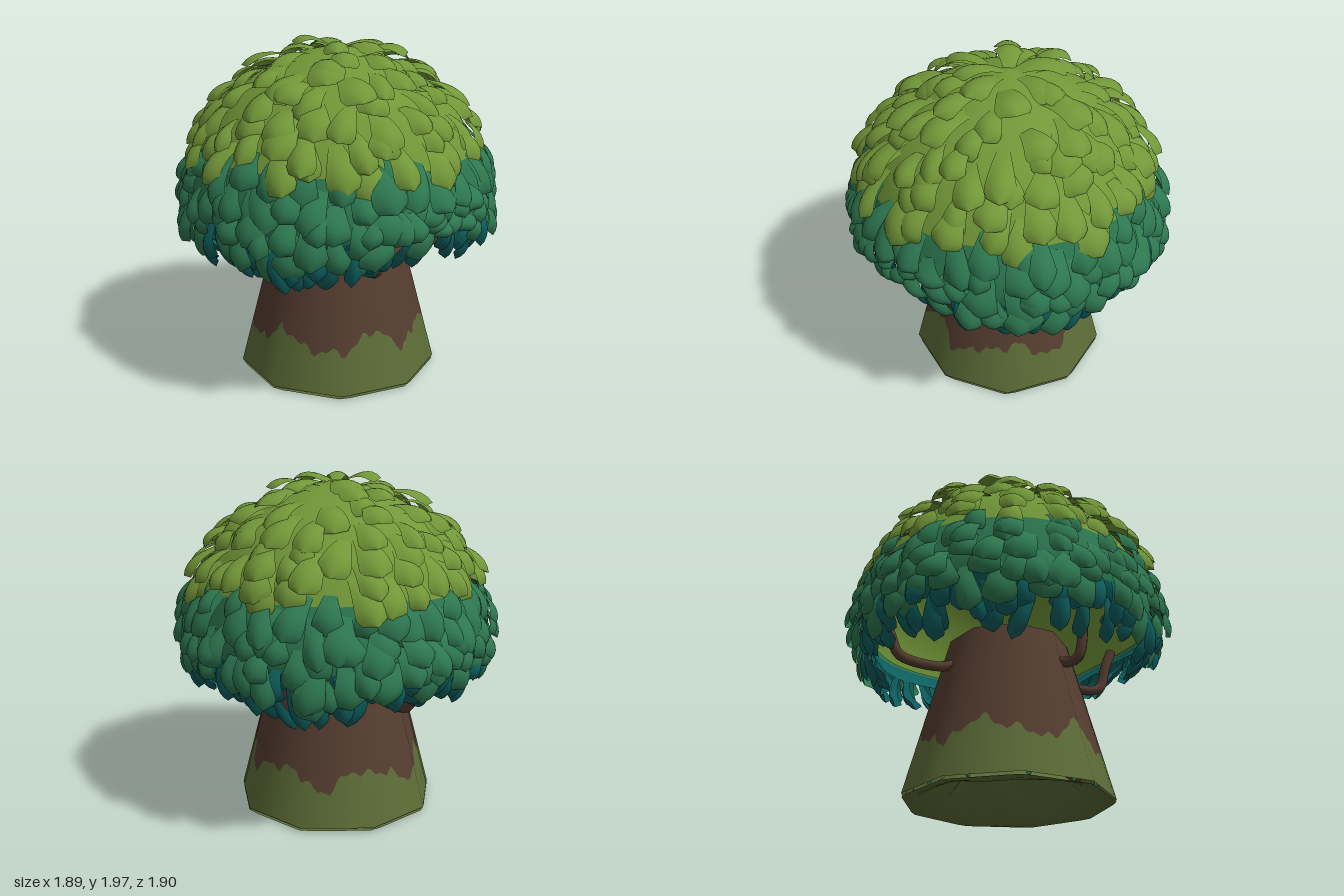
import * as THREE from 'three';
import { mergeGeometries } from 'three/addons/utils/BufferGeometryUtils.js';

const paint = (name, color) => {
  const m = new THREE.MeshStandardMaterial({ color, side: THREE.DoubleSide });
  m.name = name;
  return m;
};

let seed = 7;
const rand = () => {
  seed = (seed * 16807) % 2147483647;
  return seed / 2147483647;
};
const jitter = (a) => (rand() * 2 - 1) * a;

// Canopy outline (radius, height), from crown to rim
const profile = new THREE.SplineCurve([
  [0, 1.92], [0.26, 1.86], [0.48, 1.74], [0.66, 1.58], [0.78, 1.38],
  [0.85, 1.15], [0.85, 1.0], [0.8, 0.89],
].map(([r, y]) => new THREE.Vector2(r, y)));

// The rim rises over the front, and a little over the back and sides
function liftRim(geo) {
  const p = geo.attributes.position;
  for (let i = 0; i < p.count; i++) {
    const a = Math.atan2(p.getZ(i), p.getX(i)), s = Math.sin(a);
    const lift = 0.16 * Math.max(0, s) ** 6 + 0.07 * Math.max(0, -s) ** 6 + 0.06 * Math.cos(a) ** 8;
    p.setY(i, p.getY(i) + lift * THREE.MathUtils.clamp((1.2 - p.getY(i)) / 0.35, 0, 1));
  }
  geo.computeVertexNormals();
  return geo;
}

// Grid surface from a function of (u, v) in 0..1
function patch(nu, nv, at) {
  const pos = [], index = [];
  for (let i = 0; i <= nu; i++) {
    for (let j = 0; j <= nv; j++) {
      pos.push(...at(i / nu, j / nv).toArray());
      if (i === nu || j === nv) continue;
      const a = i * (nv + 1) + j, b = a + nv + 1;
      index.push(a, b, a + 1, b, b + 1, a + 1);
    }
  }
  const g = new THREE.BufferGeometry();
  g.setAttribute('position', new THREE.Float32BufferAttribute(pos, 3));
  g.setIndex(index);
  g.computeVertexNormals();
  return g;
}

// Spoon-shaped leaf: narrow foot, lifted rounded tip, edges folded down
function leaf(angle, t, width) {
  const q = profile.getPointAt(t), d = profile.getTangentAt(t);
  const c = Math.cos(angle), s = Math.sin(angle);
  const base = new THREE.Vector3(q.x * c, q.y, q.x * s);
  const normal = new THREE.Vector3(-d.y * c, d.x, -d.y * s);
  const along = new THREE.Vector3(d.x * c, d.y, d.x * s).applyAxisAngle(normal, jitter(0.4));
  const across = new THREE.Vector3().crossVectors(normal, along);
  const length = 0.25 + jitter(0.05), half = (width / 2) * (1 + jitter(0.2)), lift = 0.06 + jitter(0.035);
  return patch(8, 6, (u, v) => {
    const w = v * 2 - 1;
    const spread = u < 0.7 ? 0.4 + 0.6 * (u / 0.7)
      : Math.sqrt(Math.max(0, 1 - ((u - 0.7) / 0.3) ** 2));
    const height = lift * u + 0.03 * Math.sin(Math.PI * u) - 0.055 * w * w * spread * u - 0.03 * u ** 6;
    return base.clone()
      .addScaledVector(along, length * u)
      .addScaledVector(across, half * spread * w)
      .addScaledVector(normal, height);
  });
}

function leafRows(rows, spacing, width) {
  const leaves = [];
  for (const t of rows) {
    const n = Math.max(5, Math.round((2 * Math.PI * profile.getPointAt(t).x) / spacing));
    const start = rand() * 6.28;
    for (let i = 0; i < n; i++) {
      const rowT = THREE.MathUtils.clamp(t + jitter(0.03), 0.01, 0.99);
      leaves.push(leaf(start + ((i + jitter(0.35)) / n) * 2 * Math.PI, rowT, width));
    }
  }
  return liftRim(mergeGeometries(leaves));
}

// Band of the dome under the leaves
function shell(t0, t1, scale = 1) {
  const pts = [];
  for (let i = 0; i <= 10; i++) {
    const q = profile.getPointAt(t1 + ((t0 - t1) * i) / 10);
    pts.push(new THREE.Vector2(q.x * scale, q.y - (1 - scale) * 0.8));
  }
  return liftRim(new THREE.LatheGeometry(pts, 48));
}

// Nine-sided flared trunk: point at angle a and height y
const BASE = 0.02, TOP = 0.94, STEP = (Math.PI * 2) / 9;
function trunkPoint(a, y) {
  const local = ((((a - 0.09) % STEP) + STEP) % STEP) - STEP / 2;
  const r = (0.595 - 0.265 * (y - BASE)) * Math.cos(STEP / 2) / Math.cos(local);
  return new THREE.Vector3(r * Math.cos(a), y, r * Math.sin(a));
}
const mossEdge = (a) => 0.285 - 0.05 * Math.sin(6 * a) + 0.02 * Math.sin(11 * a + 1)
  + 0.018 * Math.sin(19 * a + 2) + 0.015 * Math.sin(37 * a);

function trunkBand(low, high) {
  const g = patch(6, 144, (u, v) => {
    const a = -v * Math.PI * 2;
    return trunkPoint(a, THREE.MathUtils.lerp(high(a), low(a), u));
  });
  // Rounded shading over the flat sides
  const p = g.attributes.position, n = new THREE.Vector3();
  for (let i = 0; i < p.count; i++) {
    n.set(p.getX(i), 0, p.getZ(i)).normalize().setY(0.25).normalize();
    g.attributes.normal.setXYZ(i, n.x, n.y, n.z);
  }
  return g;
}

// Tuft of three flat grass blades
function tuft(a) {
  const blades = [];
  for (const lean of [-0.5, 0, 0.5]) {
    const blade = new THREE.ConeGeometry(0.01, 0.07, 3);
    blade.translate(0, 0.035, 0).rotateZ(lean).rotateY(Math.PI / 2 - a);
    blades.push(blade.translate(0.52 * Math.cos(a), 0.025, 0.52 * Math.sin(a)));
  }
  return mergeGeometries(blades);
}

export function createModel() {
  const group = new THREE.Group();
  const light = paint('light leaf green', 0x729738);
  const mid = paint('deep leaf green', 0x2d7850);
  const teal = paint('teal leaf', 0x0d6060);
  const bark = paint('bark brown', 0x553d30);
  const moss = paint('moss green', 0x5c6c37);
  const add = (name, geo, mat) => {
    const m = new THREE.Mesh(geo, mat);
    m.name = name;
    group.add(m);
    return m;
  };

  // Trunk
  add('trunkBark', trunkBand(mossEdge, () => TOP), bark);
  add('trunkMoss', trunkBand(() => BASE, mossEdge), moss);

  // Lumpy mound filling the open foot of the trunk, ringed with grass
  add('trunkMound', patch(12, 54, (u, v) => {
    const a = v * Math.PI * 2;
    const wobble = 1 + 0.05 * Math.sin(5 * a + u * 6) * Math.sin(Math.PI * u);
    const p = trunkPoint(a, BASE).multiplyScalar((1 - u) * wobble);
    p.y = 0.005 + 0.4 * THREE.MathUtils.smoothstep(u, 0.08, 1) + 0.03 * Math.sin(4 * a + 2) * Math.sin(Math.PI * u);
    return p;
  }), moss);
  add('grass', mergeGeometries([0.3, 1.3, 1.9, 2.6, 3.0, 3.5, 4.1, 4.6, 5.2, 5.9].map(tuft)), mid);

  // Branches hooking up from the trunk: [angle in degrees, reach, tip height]
  [[35, 0.66, 0.86], [106, 0.62, 0.9], [162, 0.56, 1.02], [272, 0.74, 0.84]].forEach(([deg, reach, tip], i) => {
    const a = THREE.MathUtils.degToRad(deg);
    const at = (r, y) => new THREE.Vector3(r * Math.cos(a), y, r * Math.sin(a));
    const path = new THREE.CatmullRomCurve3([
      at(0.34, 0.77), at(0.45, 0.73), at(reach - 0.05, 0.75), at(reach, tip), at(reach + 0.04, tip + 0.1),
    ]);
    add('branch' + (i + 1), new THREE.TubeGeometry(path, 16, 0.03, 8), bark);
  });

  // Canopy shells
  add('canopyLining', shell(0, 0.9, 0.96), light);
  add('crownShell', shell(0, 0.68), light);
  add('middleShell', shell(0.68, 0.92), mid);
  add('rimShell', shell(0.92, 1), teal);

  // Overlapping rows of leaves
  add('crownLeaves', leafRows([0.03, 0.1, 0.18, 0.26, 0.34, 0.42, 0.5, 0.57], 0.165, 0.17), light);
  add('middleLeaves', leafRows([0.64, 0.7, 0.77, 0.83, 0.885], 0.16, 0.165), mid);
  add('rimLeaves', leafRows([0.93, 0.97], 0.125, 0.115), teal);

  return group;
}
